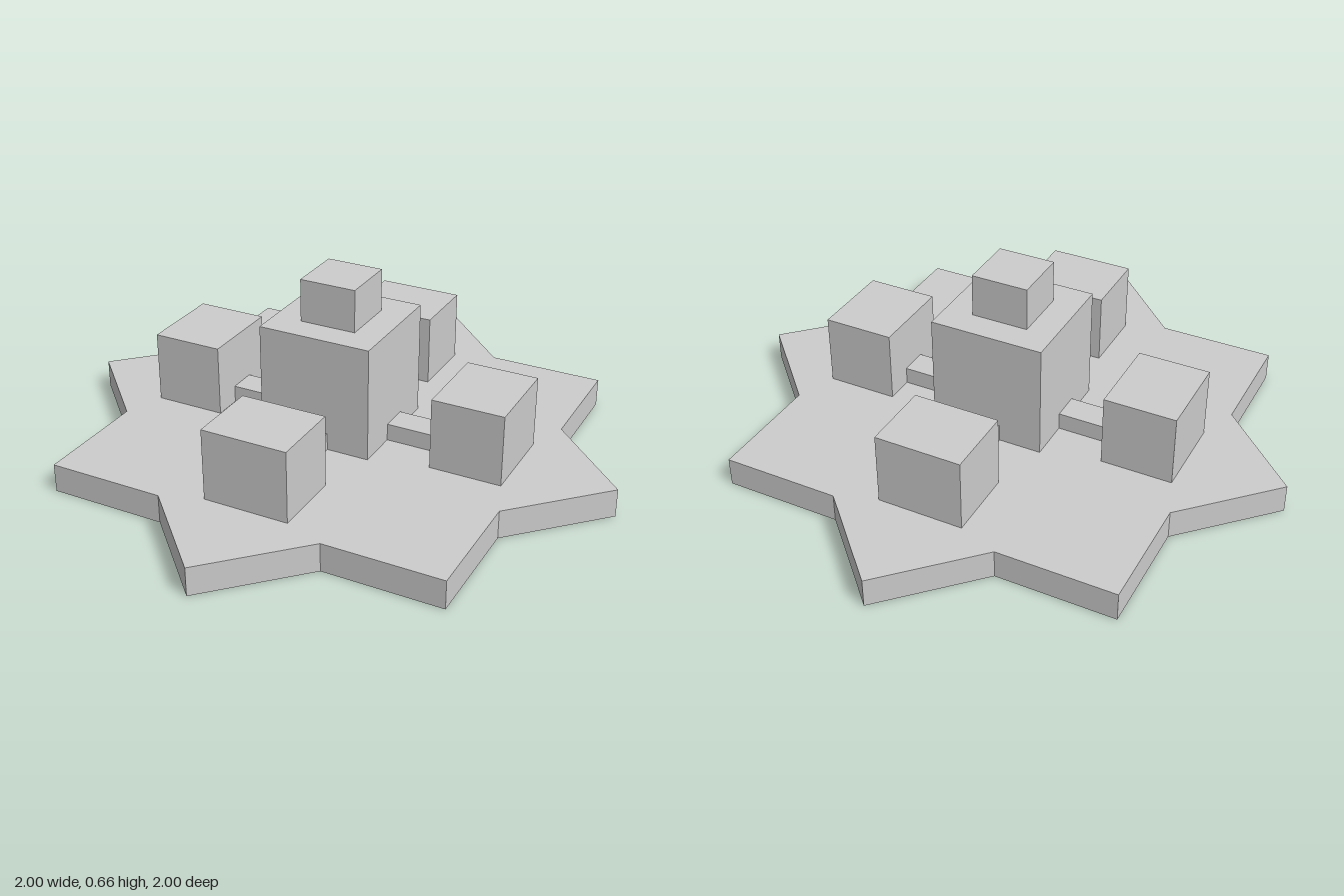
import * as THREE from 'three';

export function createModel() {
  const model = new THREE.Group();
  model.name = 'starFortress';
  const grey = new THREE.MeshStandardMaterial({ color: 0xcccccc });
  grey.name = 'plainGrey';

  // module unit: the star is two crossed squares, each 28 units wide
  const U = 1 / (14 * Math.SQRT2);

  function block(name, parent, w, d, bottom, top, z = 0) {
    const mesh = new THREE.Mesh(new THREE.BoxGeometry(w * U, (top - bottom) * U, d * U), grey);
    mesh.name = name;
    mesh.position.set(0, ((bottom + top) / 2) * U, z * U);
    parent.add(mesh);
  }

  // eight-pointed base plate
  const inner = 14 * U / Math.cos(Math.PI / 8);
  const points = [];
  for (let i = 0; i < 16; i++) {
    const a = (i * Math.PI) / 8;
    const r = i % 2 ? inner : 1;
    points.push(new THREE.Vector2(r * Math.cos(a), r * Math.sin(a)));
  }
  const plate = new THREE.ExtrudeGeometry(new THREE.Shape(points), { depth: 2 * U, bevelEnabled: false });
  plate.rotateX(-Math.PI / 2);
  const base = new THREE.Mesh(plate, grey);
  base.name = 'starBase';
  model.add(base);

  // central tower and its cap
  block('centralTower', model, 8, 8, 2, 10);
  block('towerCap', model, 4, 4, 10, 13);

  // four outer blocks, each joined to the tower by a low passage
  ['front', 'left', 'back', 'right'].forEach((side, i) => {
    const wing = new THREE.Group();
    wing.name = side + 'Wing';
    block('outerBlock', wing, 6, 5, 2, 7, 10.5);
    block('passage', wing, 2, 4, 2, 3.2, 6);
    wing.rotation.y = (i * Math.PI) / 2;
    model.add(wing);
  });

  return model;
}
